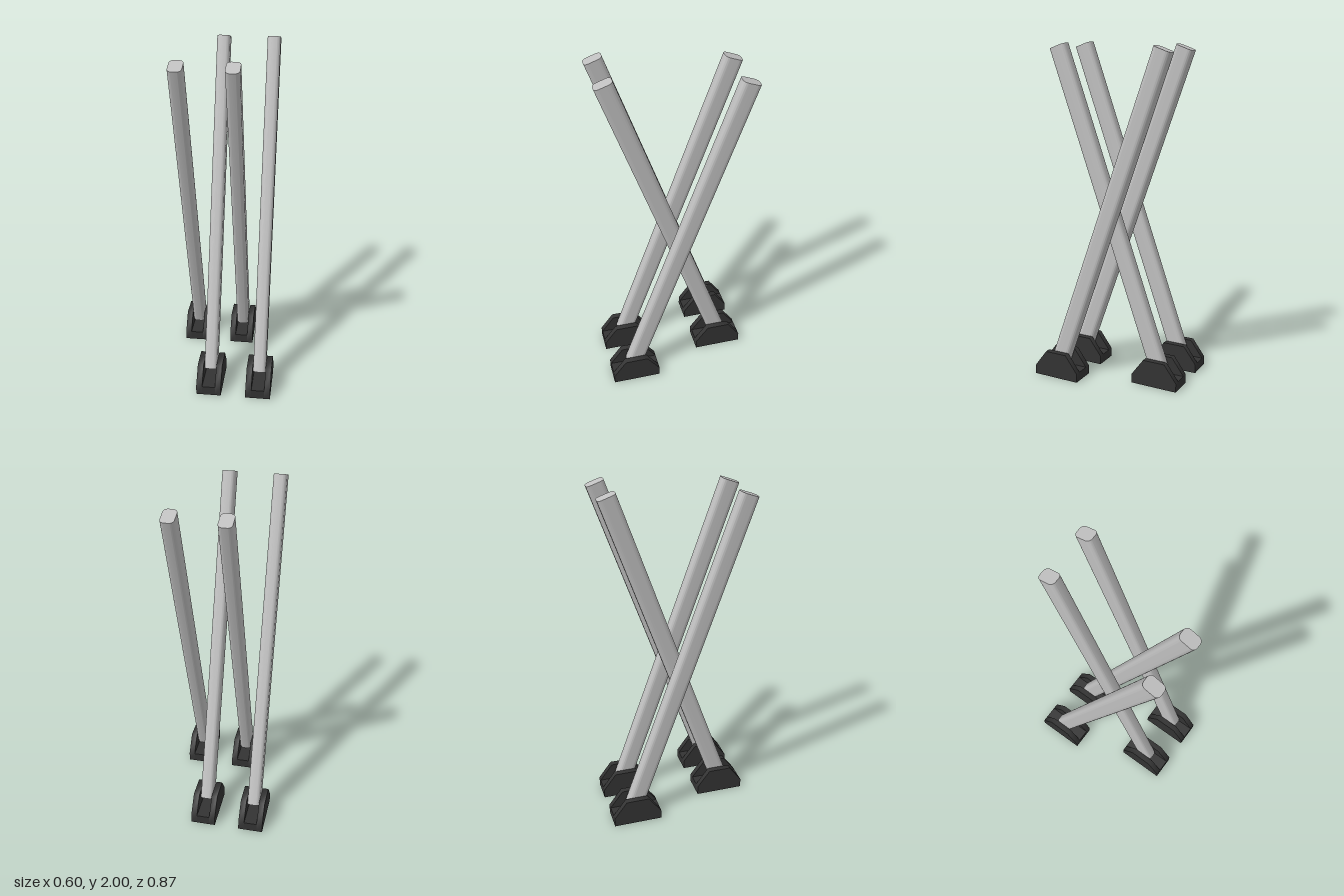
import * as THREE from 'three';
import { toCreasedNormals } from 'three/addons/utils/BufferGeometryUtils.js';

const BEAM_W = 0.077, BEAM_D = 0.108, BEAM_R = 0.026;
const FOOT_W = 0.148, FOOT_Z = 0.291, FOOT_L = 0.292;
const FLOOR_H = 0.055, WALL_H = 0.16, WALL_TOP = 0.138;

// Rounded rectangular bar standing up from its own origin
function beamGeometry(length) {
  const x = BEAM_W / 2, y = BEAM_D / 2, r = BEAM_R;
  const s = new THREE.Shape();
  s.moveTo(-x + r, -y);
  s.lineTo(x - r, -y);
  s.absarc(x - r, -y + r, r, -Math.PI / 2, 0);
  s.lineTo(x, y - r);
  s.absarc(x - r, y - r, r, 0, Math.PI / 2);
  s.lineTo(-x + r, y);
  s.absarc(-x + r, y - r, r, Math.PI / 2, Math.PI);
  s.lineTo(-x, -y + r);
  s.absarc(-x + r, -y + r, r, Math.PI, Math.PI * 1.5);
  const g = new THREE.ExtrudeGeometry(s, { depth: length, bevelEnabled: false, curveSegments: 8 });
  g.rotateX(-Math.PI / 2);
  return toCreasedNormals(g, 0.6);
}

// Side cheek of a foot: chamfered profile in z and y, extruded across x
function cheekGeometry(thickness) {
  const h = FOOT_L / 2, t = WALL_TOP / 2;
  const s = new THREE.Shape([
    [-h, 0], [h, 0], [h, FLOOR_H], [t, WALL_H], [-t, WALL_H], [-h, FLOOR_H],
  ].map(([z, y]) => new THREE.Vector2(z, y)));
  const g = new THREE.ExtrudeGeometry(s, { depth: thickness, bevelEnabled: false });
  g.rotateY(-Math.PI / 2);
  g.translate(thickness / 2, 0, 0);
  return toCreasedNormals(g, 1.0);
}

export function createModel() {
  const model = new THREE.Group();
  model.name = 'crossedStand';

  const metal = new THREE.MeshStandardMaterial({ color: 0xc0c0c0 });
  metal.name = 'lightGreyMetal';
  const rubber = new THREE.MeshStandardMaterial({ color: 0x333333 });
  rubber.name = 'darkRubber';

  // Ends of the beam axis, for a leg whose foot is at the front
  const bottom = new THREE.Vector3(0, 0.103, 0.293);
  const top = new THREE.Vector3(0, 1.982, -0.371);
  const axis = top.clone().sub(bottom);

  const wall = (FOOT_W - BEAM_W) / 2;
  const beamGeo = beamGeometry(axis.length());
  const cheekGeo = cheekGeometry(wall);
  const floorGeo = new THREE.BoxGeometry(BEAM_W, FLOOR_H, FOOT_L);
  floorGeo.translate(0, FLOOR_H / 2, 0);

  function makeLeg(name) {
    const leg = new THREE.Group();
    leg.name = name;

    const beam = new THREE.Mesh(beamGeo, metal);
    beam.name = 'beam';
    beam.position.copy(bottom);
    beam.rotation.x = Math.atan2(axis.z, axis.y);
    leg.add(beam);

    // Open channel foot: floor between two cheeks
    const foot = new THREE.Group();
    foot.name = 'foot';
    foot.position.z = FOOT_Z;
    const floor = new THREE.Mesh(floorGeo, rubber);
    floor.name = 'footFloor';
    foot.add(floor);
    for (const side of [-1, 1]) {
      const cheek = new THREE.Mesh(cheekGeo, rubber);
      cheek.name = side > 0 ? 'leftCheek' : 'rightCheek';
      cheek.position.x = side * (BEAM_W + wall) / 2;
      foot.add(cheek);
    }
    leg.add(foot);
    return leg;
  }

  // Four legs side by side, leaning alternately forwards and backwards
  [-0.228, -0.069, 0.068, 0.227].forEach((x, i) => {
    const footAtBack = i % 2 === 0;
    const leg = makeLeg((footAtBack ? 'backFootLeg' : 'frontFootLeg') + (i + 1));
    leg.position.x = x;
    if (footAtBack) leg.rotation.y = Math.PI;
    model.add(leg);
  });

  return model;
}
